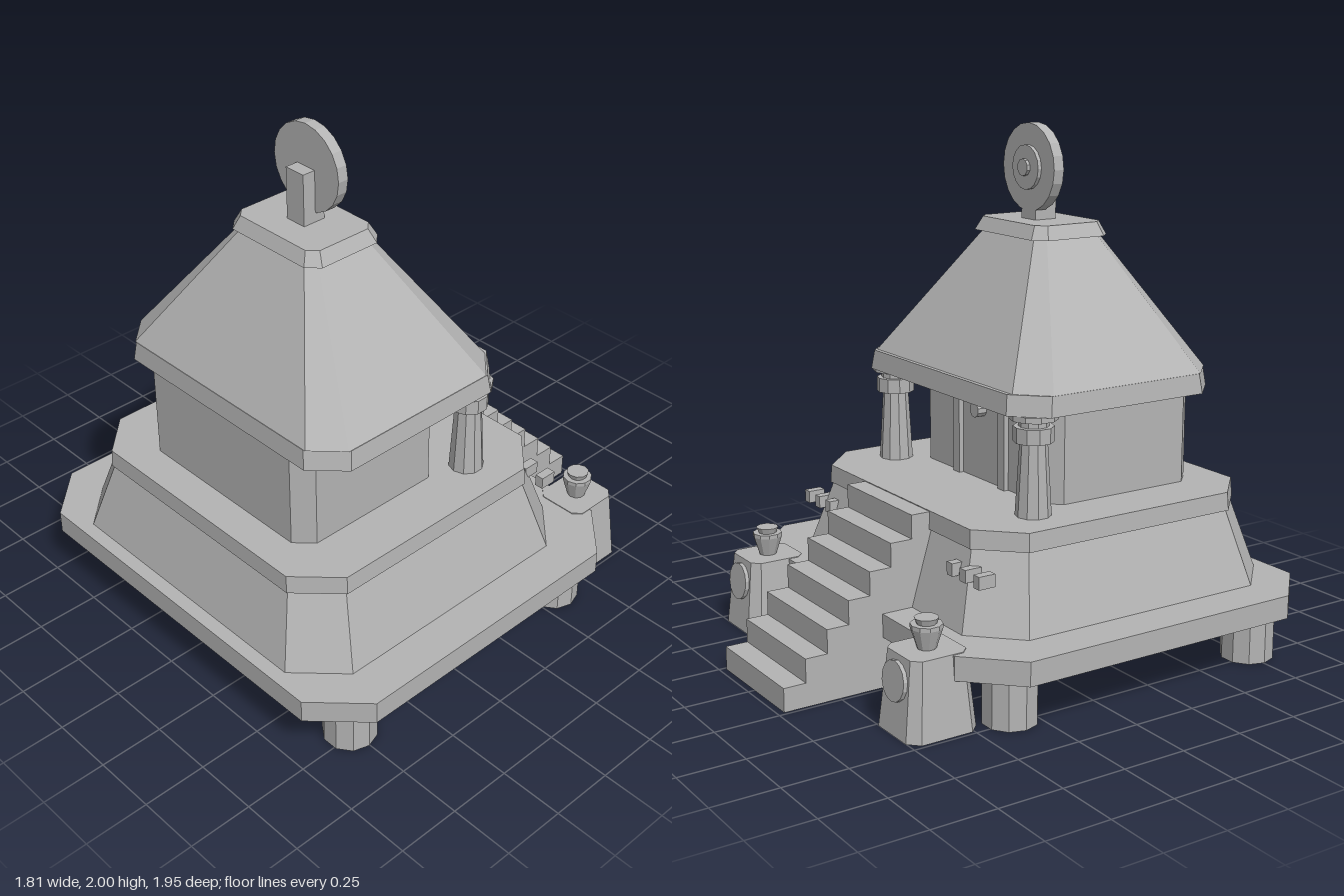
import * as THREE from 'three';

const stone = new THREE.MeshStandardMaterial({ color: 0xb4b4b4 });
stone.name = 'stone';

// Stacked chamfered rectangles; each ring is [y, halfX, zBack, zFront, chamfer]
function loft(rings) {
  const loops = rings.map(([y, hx, z0, z1, c]) => [
    [hx, z0 + c], [hx, z1 - c], [hx - c, z1], [c - hx, z1],
    [-hx, z1 - c], [-hx, z0 + c], [c - hx, z0], [hx - c, z0],
  ].map(([x, z]) => [x, y, z]));
  const pos = [];
  const tri = (...pts) => pts.forEach((p) => pos.push(...p));
  for (let r = 0; r < loops.length - 1; r++) {
    const lo = loops[r], hi = loops[r + 1];
    for (let i = 0; i < 8; i++) {
      const j = (i + 1) % 8;
      tri(lo[i], hi[i], lo[j]);
      tri(lo[j], hi[i], hi[j]);
    }
  }
  const bottom = loops[0], top = loops[loops.length - 1];
  for (let i = 1; i < 7; i++) {
    tri(bottom[0], bottom[i], bottom[i + 1]);
    tri(top[0], top[i + 1], top[i]);
  }
  const g = new THREE.BufferGeometry();
  g.setAttribute('position', new THREE.Float32BufferAttribute(pos, 3));
  g.computeVertexNormals();
  return g;
}

// Faceted solid of revolution standing on its profile of [radius, y]
function turned(profile, sides) {
  const pts = profile.map(([r, y]) => new THREE.Vector2(r, y));
  const g = new THREE.LatheGeometry(pts, sides).toNonIndexed();
  g.computeVertexNormals();
  return g;
}

export function createModel() {
  const model = new THREE.Group();
  model.name = 'shrine';

  const add = (name, geometry, x = 0, y = 0, z = 0, parent = model) => {
    const m = new THREE.Mesh(geometry, stone);
    m.name = name;
    m.position.set(x, y, z);
    parent.add(m);
    return m;
  };
  const box = (name, x0, x1, y0, y1, z0, z1) =>
    add(name, new THREE.BoxGeometry(x1 - x0, y1 - y0, z1 - z0),
      (x0 + x1) / 2, (y0 + y1) / 2, (z0 + z1) / 2);
  const disc = (name, r, z0, z1, y, sides) => {
    const g = new THREE.CylinderGeometry(r, r, z1 - z0, sides).toNonIndexed();
    g.computeVertexNormals();
    add(name, g, 0, y, (z0 + z1) / 2).rotation.x = -Math.PI / 2;
  };

  // Platform tiers
  add('basePlate', loft([[0.195, 0.905, -0.57, 0.975, 0.185], [0.285, 0.905, -0.57, 0.975, 0.185]]));
  add('slopedTier', loft([[0.285, 0.742, -0.445, 0.92, 0.17], [0.57, 0.648, -0.36, 0.838, 0.145]]));
  add('tierRim', loft([[0.57, 0.66, -0.37, 0.848, 0.15], [0.64, 0.655, -0.367, 0.845, 0.15]]));

  // Room and roof
  add('room', loft([[0.64, 0.445, 0.02, 0.71, 0.065], [1.02, 0.445, 0.02, 0.71, 0.065]]));
  add('eaves', loft([[1.02, 0.59, -0.195, 0.727, 0.115], [1.095, 0.58, -0.185, 0.718, 0.115]]));
  add('roof', loft([[1.095, 0.578, -0.168, 0.716, 0.105], [1.585, 0.205, 0.135, 0.438, 0.035]]));
  add('roofCap', loft([[1.585, 0.235, 0.11, 0.457, 0.045], [1.637, 0.207, 0.137, 0.433, 0.035]]));

  // Door strips and knob
  for (const s of [-1, 1]) {
    box('doorStrip', s * 0.155 - 0.022, s * 0.155 + 0.022, 0.64, 1.02, 0, 0.025);
  }
  disc('doorKnob', 0.03, -0.018, 0.025, 0.922, 10);

  // Wheel emblem on its post
  box('wheelPost', -0.045, 0.045, 1.637, 1.838, 0.23, 0.325);
  disc('wheel', 0.167, 0.228, 0.272, 1.834, 20);
  disc('wheelBoss', 0.085, 0.213, 0.23, 1.834, 16);
  disc('wheelHub', 0.033, 0.2, 0.215, 1.834, 10);

  // Stairs rising from the back
  const run = 0.0885, rise = 0.091;
  for (let i = 0; i < 7; i++) {
    const z = -0.975 + i * run;
    box('step', -0.237, 0.237, i < 6 ? 0 : 0.29, (i + 1) * rise, z, z + run);
  }

  const leg = turned([[0, 0], [0.102, 0], [0.102, 0.195], [0, 0.195]], 10);
  const column = turned([
    [0, 0.64], [0.067, 0.64], [0.051, 0.915], [0.075, 0.915], [0.075, 0.972],
    [0.056, 0.972], [0.056, 0.998], [0.09, 0.998], [0.09, 1.02], [0, 1.02],
  ], 10);
  const pedestal = loft([[0, 0.132, -0.142, 0.142, 0.04], [0.288, 0.105, -0.112, 0.112, 0.03]]);
  const urn = turned([
    [0, 0], [0.034, 0], [0.058, 0.075], [0.058, 0.09], [0.036, 0.09],
    [0.044, 0.112], [0, 0.112],
  ], 10);
  const medallion = new THREE.CylinderGeometry(0.073, 0.073, 0.03, 14).toNonIndexed();
  medallion.computeVertexNormals();

  // Mirrored parts
  for (const s of [-1, 1]) {
    for (const z of [-0.347, 0.753]) add('leg', leg, s * 0.727, 0, z).rotation.y = Math.PI / 10;
    add('column', column, s * 0.482, 0, -0.08);

    const stand = new THREE.Group();
    stand.name = 'lampPedestal';
    stand.position.set(s * 0.605, 0, -0.61);
    model.add(stand);
    add('pedestal', pedestal, 0, 0, 0, stand);
    add('urn', urn, 0, 0.287, 0, stand);
    add('medallion', medallion, 0, 0.195, -0.122, stand).rotation.x = 0.104 - Math.PI / 2;

    for (const x of [0.45, 0.535, 0.622]) {
      box('slopeBlock', s * x - 0.018, s * x + 0.018, 0.465, 0.513, -0.418, -0.35);
    }
  }
  return model;
}
